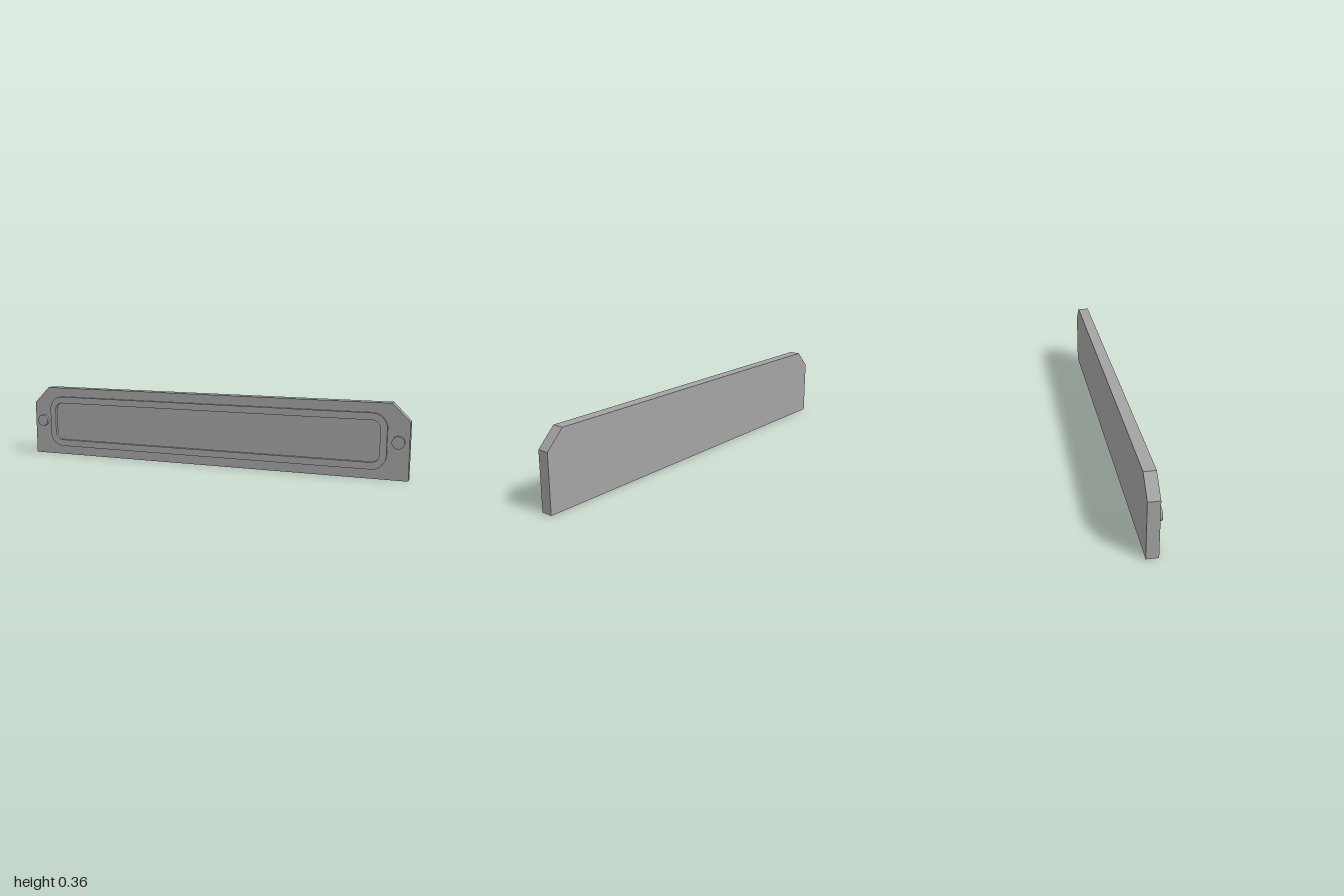
import * as THREE from 'three';

const HEIGHT = 0.362, MID = 0.181;
const BACK = -0.035, FACE = 0.02, FRONT = 0.035;

// Rounded rectangle centred on x = 0 and the plate's mid height
function roundedRect(path, halfW, halfH, r) {
  const x = halfW - r, y = halfH - r;
  path.absarc(x, MID + y, r, 0, Math.PI / 2);
  path.absarc(-x, MID + y, r, Math.PI / 2, Math.PI);
  path.absarc(-x, MID - y, r, Math.PI, Math.PI * 1.5);
  path.absarc(x, MID - y, r, Math.PI * 1.5, Math.PI * 2);
  path.closePath();
  return path;
}

export function createModel() {
  const group = new THREE.Group();
  group.name = 'mountingPlate';
  const grey = new THREE.MeshStandardMaterial({ color: 0xa3a3a3 });
  grey.name = 'grey';

  function addExtrusion(name, shape, z0, z1) {
    const geometry = new THREE.ExtrudeGeometry(shape, {
      depth: z1 - z0, bevelEnabled: false, curveSegments: 10,
    });
    geometry.translate(0, 0, z0);
    const mesh = new THREE.Mesh(geometry, grey);
    mesh.name = name;
    group.add(mesh);
  }

  // Back plate with its two upper corners cut off
  const outline = [[-1, 0], [1, 0], [1, 0.277], [0.915, HEIGHT], [-0.915, HEIGHT], [-1, 0.277]];
  const plate = new THREE.Shape(outline.map(([x, y]) => new THREE.Vector2(x, y)));
  addExtrusion('backPlate', plate, BACK, FACE);

  // Raised rounded frame
  const frame = roundedRect(new THREE.Shape(), 0.898, 0.134, 0.07);
  frame.holes.push(roundedRect(new THREE.Path(), 0.866, 0.1, 0.038));
  addExtrusion('raisedFrame', frame, FACE, FRONT);

  // Rivet at each end
  for (const side of [-1, 1]) {
    const geometry = new THREE.CylinderGeometry(0.03, 0.03, FRONT - FACE, 32);
    geometry.rotateX(Math.PI / 2);
    const rivet = new THREE.Mesh(geometry, grey);
    rivet.position.set(side * 0.949, MID, (FACE + FRONT) / 2);
    rivet.name = side > 0 ? 'leftRivet' : 'rightRivet';
    group.add(rivet);
  }
  return group;
}
